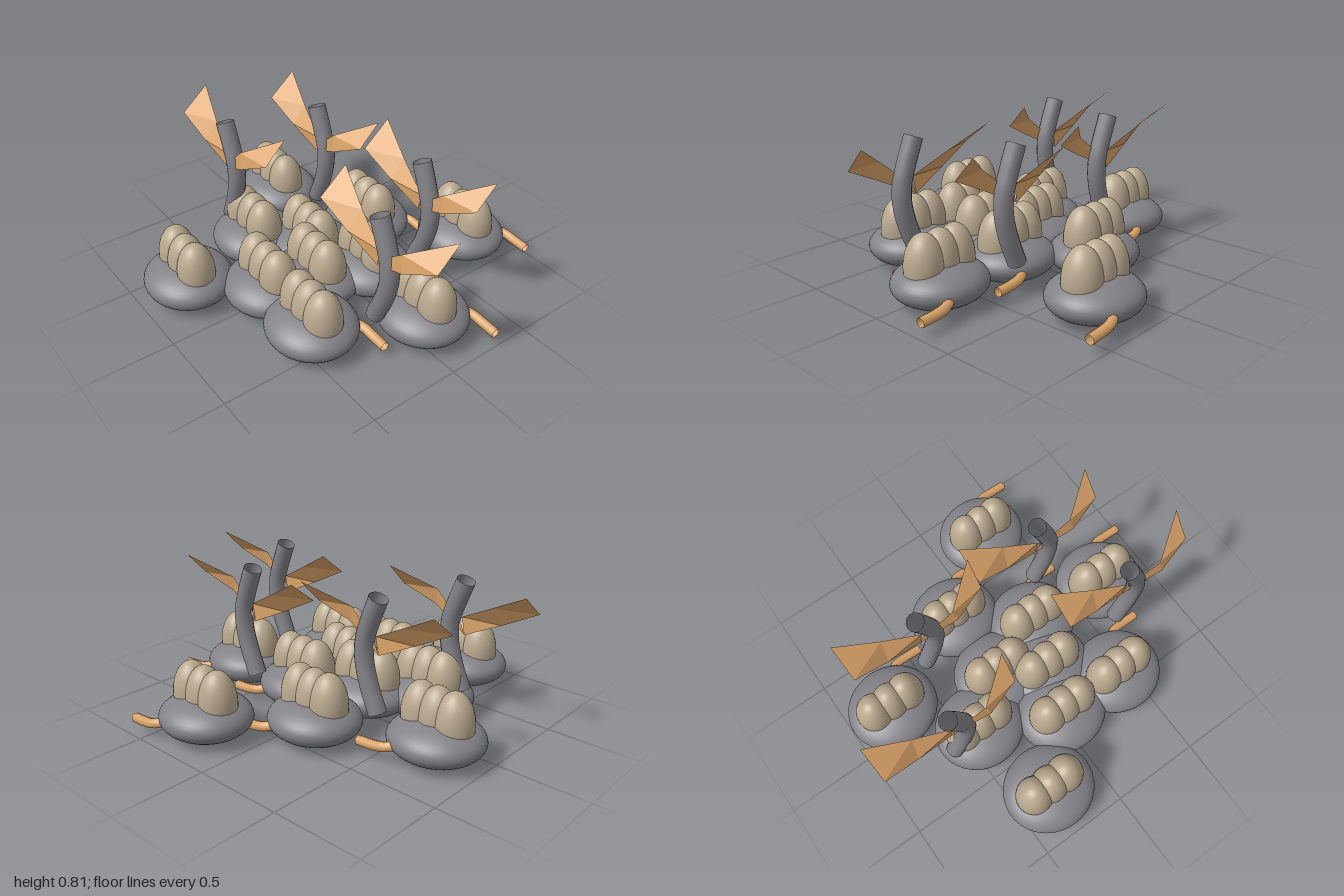
import * as THREE from 'three';

const mat = (name, color, side = THREE.FrontSide) => {
  const m = new THREE.MeshStandardMaterial({ color, side });
  m.name = name;
  return m;
};

// Quad strip through cross-sections, each given as a [top, bottom] pair of points
function strip(sections) {
  const pos = [];
  for (let i = 0; i < sections.length - 1; i++) {
    const [a, b] = sections[i], [c, d] = sections[i + 1];
    pos.push(...a, ...b, ...d, ...a, ...d, ...c);
  }
  const g = new THREE.BufferGeometry();
  g.setAttribute('position', new THREE.Float32BufferAttribute(pos, 3));
  g.computeVertexNormals();
  return g;
}

const tube = (points, radius, sides) => new THREE.TubeGeometry(
  new THREE.CatmullRomCurve3(points.map(p => new THREE.Vector3(...p))), 24, radius, sides);

export function createModel() {
  const model = new THREE.Group();
  model.name = 'podCluster';

  const grey = mat('grey', 0x818187);
  const greyOpen = mat('greyTube', 0x818187, THREE.DoubleSide);
  const beige = mat('beige', 0xb9a88e);
  const tan = mat('tan', 0xd9a268, THREE.DoubleSide);

  const add = (parent, name, geometry, material, x = 0, y = 0, z = 0) => {
    const mesh = new THREE.Mesh(geometry, material);
    mesh.name = name;
    mesh.position.set(x, y, z);
    parent.add(mesh);
  };

  // Pod: flattened body, three eggs in a row and a short bent tail at the back
  const bodyGeo = new THREE.SphereGeometry(1, 40, 24).scale(0.255, 0.115, 0.237);
  const eggGeo = new THREE.SphereGeometry(1, 28, 20).scale(0.101, 0.175, 0.101);
  const tailGeo = tube([
    [0.06, 0.10, -0.13], [0.11, 0.10, -0.185], [0.16, 0.09, -0.212],
    [0.22, 0.08, -0.217], [0.315, 0.073, -0.217],
  ], 0.026, 8);

  const pods = [
    [0.28, -0.735], [-0.155, -0.385], [-0.74, -0.14], [0.197, -0.105],
    [0.668, -0.083], [-0.145, 0.035], [0.1, 0.17], [-0.41, 0.235],
    [0.015, 0.425], [0.405, 0.425], [-0.3, 0.732],
  ];
  for (const [x, z] of pods) {
    const pod = new THREE.Group();
    pod.name = 'pod';
    pod.position.set(x, 0, z);
    add(pod, 'body', bodyGeo, grey, 0, 0.115, 0);
    for (const ex of [-0.1, 0, 0.1]) add(pod, 'egg', eggGeo, beige, ex, 0.215, 0);
    add(pod, 'tail', tailGeo, tan);
    model.add(pod);
  }

  // Stalk: bowed open tube carrying two twisted leaf blades
  const stalkGeo = tube([
    [0.005, 0.785, 0], [0.055, 0.66, 0], [0.087, 0.56, 0],
    [0.092, 0.46, 0], [0.065, 0.34, 0], [0, 0.18, 0],
  ], 0.05, 12);
  const rightBlade = strip([
    [[0.02, 0.585, 0], [0, 0.49, 0]],
    [[-0.18, 0.69, -0.05], [-0.2, 0.585, 0.025]],
    [[-0.405, 0.81, -0.12], [-0.395, 0.685, 0.045]],
  ]);
  const leftBlade = strip([
    [[0.02, 0.54, 0], [0, 0.49, 0]],
    [[0.2, 0.69, 0.03], [0.22, 0.6, 0.047]],
    [[0.405, 0.81, -0.12], [0.4, 0.685, 0]],
  ]);
  for (const [x, z] of [[-0.595, 0.275], [-0.445, -0.235], [0.358, -0.305], [0.592, 0.167]]) {
    const stalk = new THREE.Group();
    stalk.name = 'leafStalk';
    stalk.position.set(x, 0, z);
    add(stalk, 'stalk', stalkGeo, greyOpen);
    add(stalk, 'rightBlade', rightBlade, tan);
    add(stalk, 'leftBlade', leftBlade, tan);
    model.add(stalk);
  }

  return model;
}
